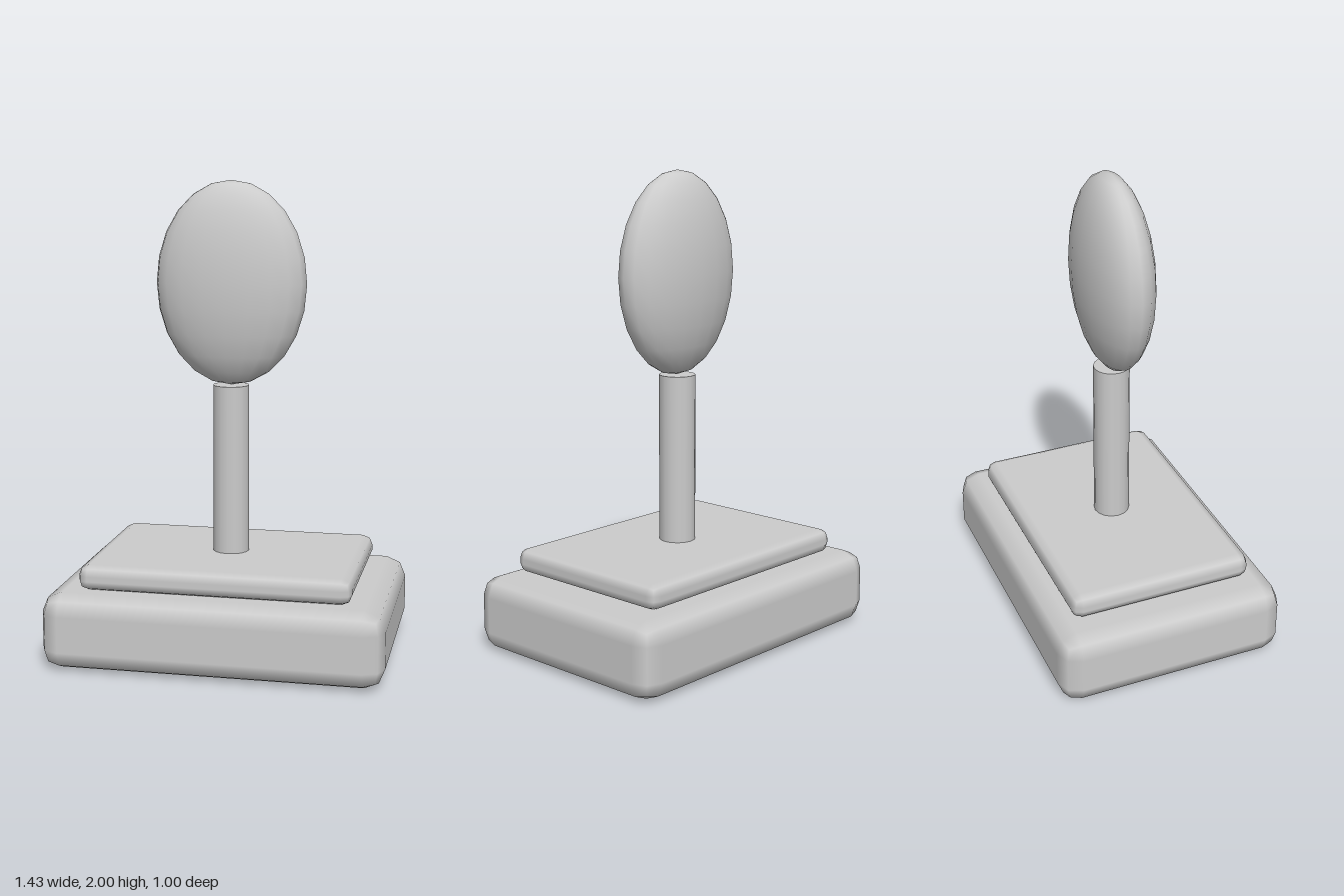
import * as THREE from 'three';
import { RoundedBoxGeometry } from 'three/addons/geometries/RoundedBoxGeometry.js';

export function createModel() {
  const model = new THREE.Group();
  const material = new THREE.MeshStandardMaterial({ color: 0xcccccc });

  function addPart(name, geometry, y) {
    const mesh = new THREE.Mesh(geometry, material);
    mesh.name = name;
    mesh.position.y = y;
    model.add(mesh);
    return mesh;
  }

  // Stepped plinth: two slabs with softened edges
  addPart('base', new RoundedBoxGeometry(1.426, 0.322, 1, 1, 0.085), 0.162);
  addPart('upperPlate', new RoundedBoxGeometry(1.14, 0.107, 0.8, 1, 0.043), 0.377);

  // Post
  addPart('post', new THREE.CylinderGeometry(0.077, 0.077, 0.717, 16), 0.7885);

  // Flattened oval head balanced on the post
  const head = addPart('head', new THREE.SphereGeometry(1, 20, 12), 1.574);
  head.scale.set(0.32, 0.426, 0.142);

  return model;
}
